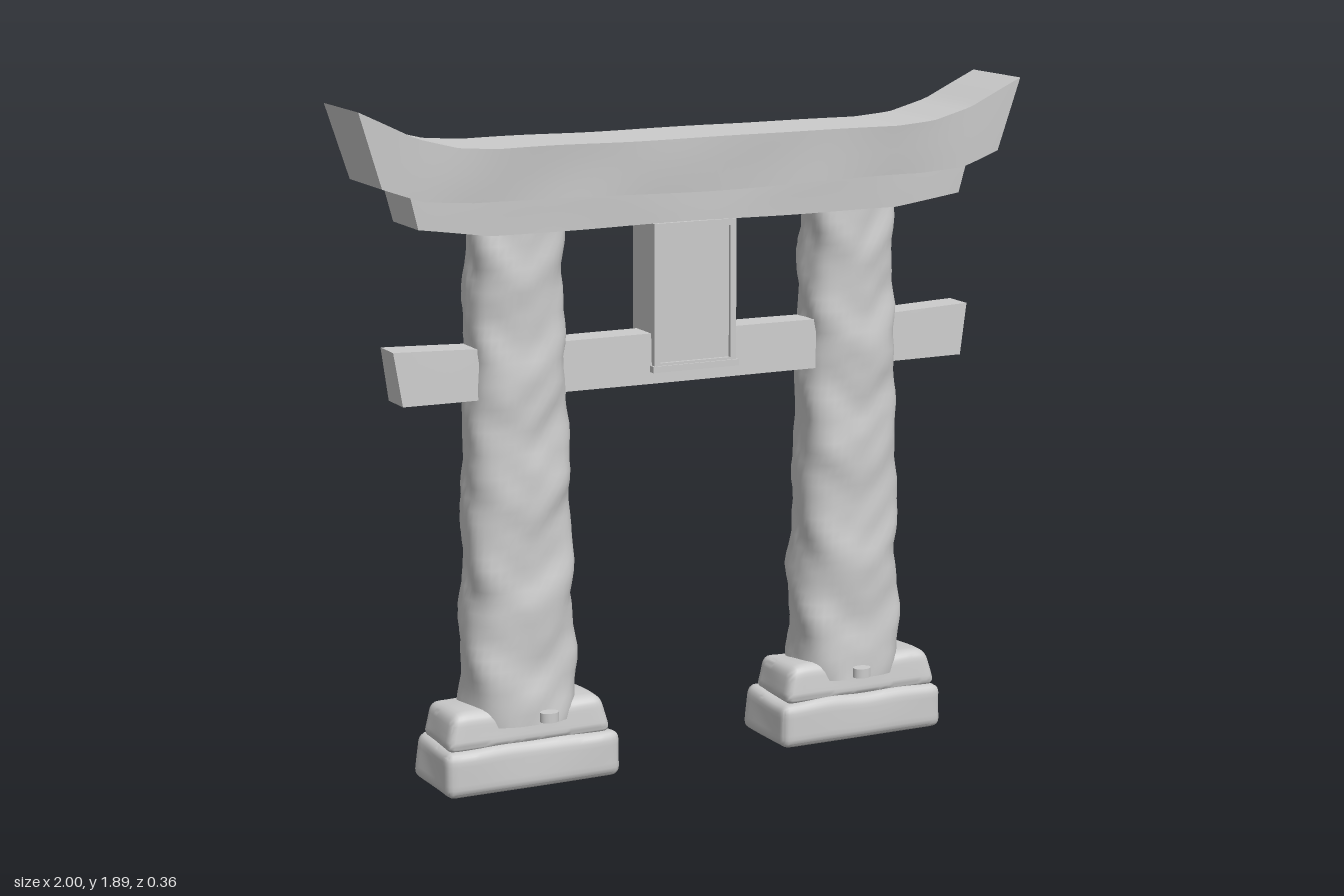
import * as THREE from 'three';
import { mergeVertices, toCreasedNormals } from 'three/addons/utils/BufferGeometryUtils.js';

const material = new THREE.MeshStandardMaterial({ color: 0xcccccc });
const { lerp, clamp } = THREE.MathUtils;

// Smooth repeatable bumps, roughly -1..1
const bump = (x, y, z, k, seed) =>
  0.5 * Math.sin(k * x + seed + 1.7 * Math.sin(0.6 * k * y + seed * 2)) * Math.cos(0.8 * k * z + 0.5 * k * y + seed) +
  0.5 * Math.sin(1.3 * k * y + 0.9 * k * z + seed * 3 + 1.3 * Math.cos(0.7 * k * x));

// Height along a list of [x, y] points
function heightAt(points, x) {
  for (let i = 1; i < points.length; i++) {
    const [x0, y0] = points[i - 1], [x1, y1] = points[i];
    if (x <= x1) return lerp(y0, y1, (x - x0) / (x1 - x0));
  }
  return points[points.length - 1][1];
}

// Moves every vertex by a rule, then smooths all but sharp edges
function deform(geometry, rule, crease) {
  geometry.deleteAttribute('uv');
  geometry.deleteAttribute('normal');
  const g = mergeVertices(geometry, 1e-4);
  const p = g.attributes.position, v = new THREE.Vector3();
  for (let i = 0; i < p.count; i++) {
    v.fromBufferAttribute(p, i);
    rule(v);
    p.setXYZ(i, v.x, v.y, v.z);
  }
  return toCreasedNormals(g, crease);
}

function add(parent, name, geometry, x = 0, y = 0, z = 0) {
  const mesh = new THREE.Mesh(geometry, material);
  mesh.name = name;
  mesh.position.set(x, y, z);
  parent.add(mesh);
  return mesh;
}

// Beam with slanted ends, following a top and a bottom curve
function beam({ top, bottom, endTop, endBottom, depthTop, depthBottom, rough, seed }) {
  return deform(new THREE.BoxGeometry(2, 1, 2, 80, 4, 4), v => {
    const t = v.y + 0.5, s = v.x;
    const xt = s * endTop, xb = s * endBottom;
    const x = lerp(xb, xt, t);
    const y = lerp(heightAt(bottom, Math.abs(xb)), heightAt(top, Math.abs(xt)), t);
    const z = v.z * lerp(depthBottom, depthTop, t);
    const fade = 1 - Math.pow(Math.abs(s), 8);
    v.set(x, y + rough * fade * bump(x, 0, t, 9, seed), z + rough * fade * v.z * bump(x, y, z, 11, seed + 1));
  }, 0.65);
}

// Tapering weathered post with a rounded-square section
function post(seed) {
  return deform(new THREE.CylinderGeometry(1, 1, 1, 44, 44), v => {
    const t = v.y + 0.5, r = Math.hypot(v.x, v.z), a = Math.atan2(v.z, v.x);
    const c = Math.cos(a), s = Math.sin(a);
    const y = lerp(0.18, 1.57, t);
    const q = r * Math.pow(Math.abs(c) ** 3 + Math.abs(s) ** 3, -1 / 3);
    const n = 0.009 * bump(c * 0.2, y, s * 0.2, 16, seed) + 0.004 * bump(c * 0.2, y, s * 0.2, 38, seed);
    v.set(c * q * (lerp(0.161, 0.128, t) + n), y, s * q * (lerp(0.117, 0.092, t) + n) - 0.006);
  }, 0.8);
}

// Rounded rough stone block, narrower at the top
function stone(w, h, d, taper, seed) {
  const R = 0.026, half = [w / 2, h / 2, d / 2];
  return deform(new THREE.BoxGeometry(w, h, d, 32, 10, 18), v => {
    const inner = new THREE.Vector3(...['x', 'y', 'z'].map((k, i) => clamp(v[k], R - half[i], half[i] - R)));
    v.sub(inner).setLength(R).add(inner);
    const n = bump(v.x, v.y, v.z, 17, seed);
    const t = v.y / h + 0.5;
    const k = 1 - taper * t + 0.02 * n;
    v.x *= k;
    v.z *= k;
    v.y += 0.007 * t * bump(v.x, 0, v.z, 22, seed + 2);
  }, 0.7);
}

export function createModel() {
  const gate = new THREE.Group();
  gate.name = 'gate';

  // Upswept top lintel
  add(gate, 'topLintel', beam({
    top: [[0, 1.775], [0.6, 1.776], [0.72, 1.785], [0.84, 1.815], [1, 1.89]],
    bottom: [[0, 1.625], [0.68, 1.632], [0.82, 1.645], [0.935, 1.685]],
    endTop: 1, endBottom: 0.935, depthTop: 0.127, depthBottom: 0.118, rough: 0.005, seed: 1,
  }));

  // Narrower lintel beneath it
  add(gate, 'underLintel', beam({
    top: [[0, 1.645], [0.7, 1.645], [0.85, 1.665]],
    bottom: [[0, 1.54], [0.62, 1.54], [0.825, 1.568]],
    endTop: 0.85, endBottom: 0.825, depthTop: 0.094, depthBottom: 0.09, rough: 0.003, seed: 4,
  }));

  // Straight tie beam through the posts
  add(gate, 'tieBeam', beam({
    top: [[0, 1.23], [0.62, 1.228], [0.885, 1.238]],
    bottom: [[0, 1.09], [0.86, 1.09]],
    endTop: 0.885, endBottom: 0.862, depthTop: 0.046, depthBottom: 0.052, rough: 0.001, seed: 6,
  }));

  // Posts, base stones and small pegs
  for (const side of [-1, 1]) {
    const label = side > 0 ? 'left' : 'right';
    const support = new THREE.Group();
    support.name = label + 'Support';
    gate.add(support);
    add(support, 'post', post(side + 3), side * 0.515);
    add(support, 'lowerStone', stone(0.53, 0.13, 0.258, 0.03, side + 5), side * 0.517, 0.065, -0.003);
    add(support, 'upperStone', stone(0.49, 0.105, 0.222, 0.1, side + 8), side * 0.522, 0.175, -0.005);
    for (const z of [0.155, -0.16]) {
      const peg = add(support, 'peg', new THREE.CylinderGeometry(1, 1, 0.027, 20), side * 0.49, 0.212, z);
      peg.scale.set(0.027, 1, 0.021);
    }
  }

  // Hanging plaque with a raised frame on both faces
  const plaque = new THREE.Group();
  plaque.name = 'plaque';
  gate.add(plaque);
  add(plaque, 'panel', new THREE.BoxGeometry(0.24, 0.4, 0.116), 0, 1.335, 0);
  const rect = (shape, w, h) =>
    shape.moveTo(-w, -h).lineTo(w, -h).lineTo(w, h).lineTo(-w, h).closePath();
  const outline = rect(new THREE.Shape(), 0.126, 0.203);
  outline.holes.push(rect(new THREE.Path(), 0.108, 0.185));
  const frame = new THREE.ExtrudeGeometry(outline, { depth: 0.136, bevelEnabled: false });
  add(plaque, 'frame', frame, 0, 1.333, -0.068);
  add(plaque, 'ledge', new THREE.BoxGeometry(0.264, 0.018, 0.146), 0, 1.132, 0);

  return gate;
}
